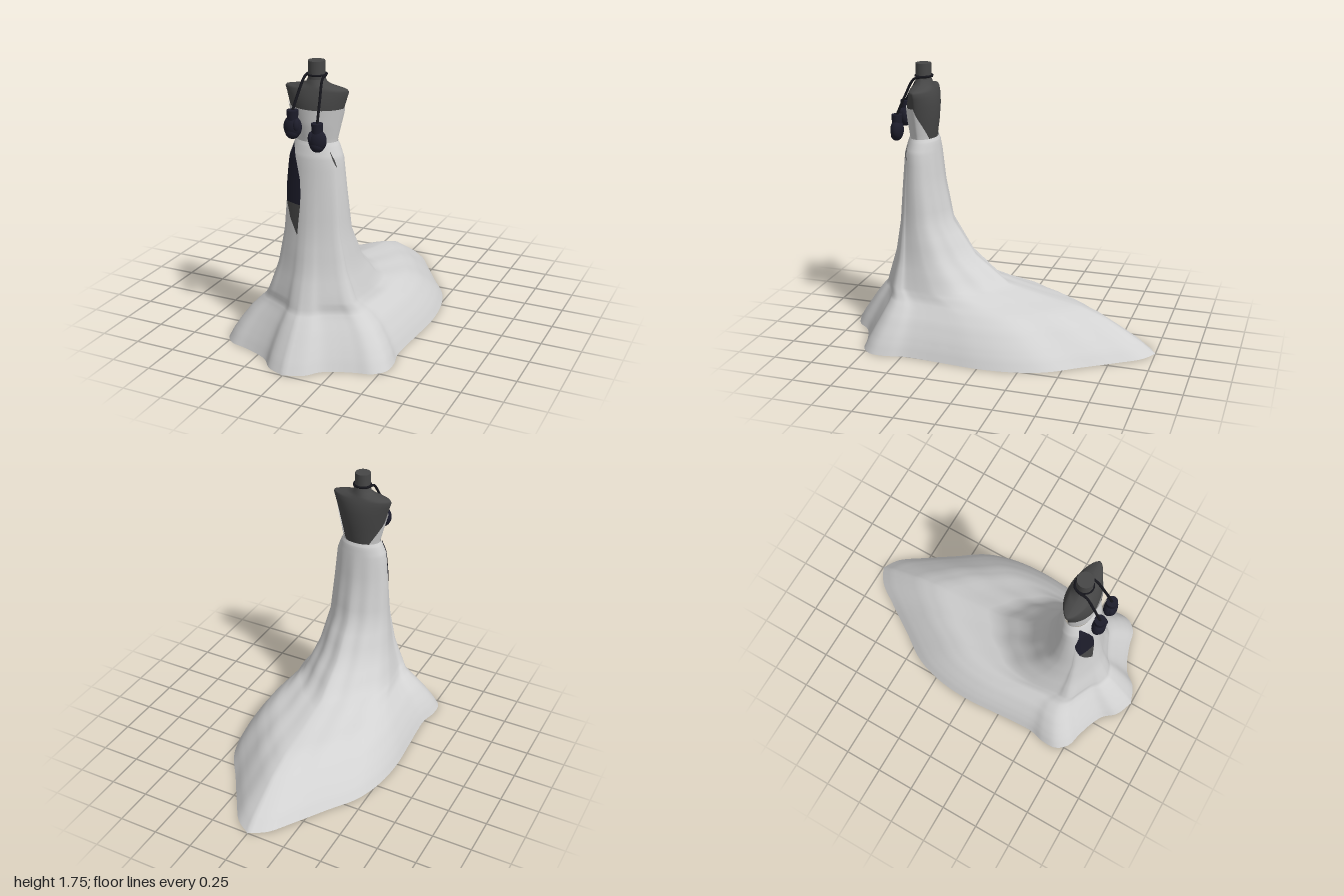
import * as THREE from 'three';

const material = (name, color, side = THREE.FrontSide) => {
  const m = new THREE.MeshStandardMaterial({ color, side });
  m.name = name;
  return m;
};

// Surface through rows (bottom to top) of cross-section points
function loft(name, rows, closed, mat) {
  const n = rows[0].length, pos = rows.flat(2), idx = [];
  for (let i = 0; i < rows.length - 1; i++) {
    for (let j = 0; j < (closed ? n : n - 1); j++) {
      const k = (j + 1) % n, a = i * n + j, b = i * n + k;
      idx.push(a, b, a + n, b, b + n, a + n);
    }
  }
  const g = new THREE.BufferGeometry();
  g.setAttribute('position', new THREE.Float32BufferAttribute(pos, 3));
  g.setIndex(idx);
  g.computeVertexNormals();
  const mesh = new THREE.Mesh(g, mat);
  mesh.name = name;
  return mesh;
}

// Linear lookup in a table whose first column is the key
function lookup(table, y) {
  let i = 0;
  while (i < table.length - 2 && y > table[i + 1][0]) i++;
  const f = (y - table[i][0]) / (table[i + 1][0] - table[i][0]);
  return table[i].map((v, k) => v + (table[i + 1][k] - v) * f);
}

// Half of the hem outline: angle from the front, relative radius
const hem = new THREE.CatmullRomCurve3([
  [0, 1], [13, 0.975], [21, 0.94], [31, 0.97], [41, 1.056], [49, 1.17], [55, 1.21], [59, 1.16], [62, 1.08],
  [68, 1.03], [78, 1], [90, 1], [102, 0.99], [115, 0.95], [134, 0.86], [155, 0.88], [168, 0.95], [180, 1],
].map(([d, r]) => {
  const t = THREE.MathUtils.degToRad(d);
  return new THREE.Vector3(r * Math.sin(t), t, r * Math.cos(t));
}));

// Skirt: height, half width, front z, back z, amount of hem shape
const skirtKeys = [
  [0, 0.535, 1, -1, 1], [0.06, 0.51, 0.965, -0.92, 0.97], [0.12, 0.478, 0.925, -0.82, 0.93],
  [0.2, 0.425, 0.87, -0.68, 0.87], [0.26, 0.37, 0.825, -0.52, 0.82], [0.3, 0.33, 0.79, -0.3, 0.75],
  [0.36, 0.295, 0.77, -0.04, 0.65], [0.53, 0.24, 0.715, 0.18, 0.45], [0.75, 0.2, 0.675, 0.33, 0.28],
  [1, 0.183, 0.65, 0.385, 0.15], [1.2, 0.166, 0.63, 0.41, 0.05], [1.27, 0.14, 0.61, 0.42, 0],
  [1.295, 0.128, 0.6, 0.43, 0],
];

// Point on the skirt: u runs -1..1 around from the back, 0 is the front
function skirtPoint(u, y) {
  const [, hw, front, back, w] = lookup(skirtKeys, y);
  const h = hem.getPoint(Math.abs(u)), t = h.y;
  const ripple = 1 + 0.12 * w * (1 - w) * (Math.cos(10 * t) - 1) * Math.max(0, -Math.cos(t));
  const nx = THREE.MathUtils.lerp(Math.sin(t), h.x, w) * ripple;
  const nz = THREE.MathUtils.lerp(Math.cos(t), h.z, w) * ripple;
  return [Math.sign(u) * hw * nx, y, (front + back) / 2 + (front - back) / 2 * nz];
}

// Thin panel lying on the front of the skirt: rows of height, left x, right x
function skirtPanel(name, outline, y0, y1, mat) {
  const rows = [];
  for (let i = 0; i <= 14; i++) {
    const y = y0 + (y1 - y0) * i / 14, [, x0, x1] = lookup(outline, y), row = [];
    for (let j = 0; j <= 10; j++) {
      const x = x0 + (x1 - x0) * j / 10;
      let lo = -0.6, hi = 0.6;
      for (let k = 0; k < 25; k++) {
        const mid = (lo + hi) / 2;
        if (skirtPoint(mid, y)[0] < x) lo = mid; else hi = mid;
      }
      const p = skirtPoint(lo, y);
      row.push([p[0] * 1.02, y, p[2] + 0.005]);
    }
    rows.push(row);
  }
  return loft(name, rows, false, mat);
}

// Torso: height, half width, front z, back z
const torsoKeys = [
  [1.26, 0.115, 0.59, 0.44], [1.3, 0.12, 0.592, 0.435], [1.4, 0.145, 0.605, 0.422], [1.5, 0.172, 0.61, 0.417],
  [1.56, 0.19, 0.595, 0.425], [1.59, 0.2, 0.585, 0.435], [1.602, 0.192, 0.58, 0.44], [1.615, 0.11, 0.575, 0.445],
  [1.63, 0.065, 0.568, 0.452], [1.67, 0.045, 0.555, 0.465],
];

function torsoPoint(t, y, grow = 0) {
  const [, hw, front, back] = lookup(torsoKeys, y);
  const c = Math.cos(t);
  const z = Math.sign(c) * Math.abs(c) ** 1.3;
  return [(hw + grow) * Math.sin(t), y, (front + back) / 2 + ((front - back) / 2 + grow) * z];
}

export function createModel() {
  const model = new THREE.Group();
  const cloth = material('light cloth', 0xd2d2d2, THREE.DoubleSide);
  const body = material('mannequin grey', 0x474747, THREE.DoubleSide);
  const navy = material('dark navy', 0x1d1d2b, THREE.DoubleSide);
  const black = material('cord black', 0x15151b);

  const add = (parent, name, geo, mat, x, y, z) => {
    const mesh = new THREE.Mesh(geo, mat);
    mesh.name = name;
    mesh.position.set(x, y, z);
    parent.add(mesh);
    return mesh;
  };

  // Skirt with train
  const rows = [], half = 85;
  for (let k = 0; k < skirtKeys.length - 1; k++) {
    for (let s = 0; s < 3; s++) rows.push(THREE.MathUtils.lerp(skirtKeys[k][0], skirtKeys[k + 1][0], s / 3));
  }
  rows.push(1.295);
  model.add(loft('skirt', rows.map(y =>
    Array.from({ length: half * 2 }, (_, j) => skirtPoint(j / half - 1, y))), true, cloth));

  // Front slit showing shorts and leg, and a small pocket opening
  const slit = [[0.745, -0.062, -0.058], [0.83, -0.115, -0.052], [0.925, -0.148, -0.043], [1.0, -0.158, -0.043],
    [1.08, -0.16, -0.05], [1.19, -0.143, -0.082], [1.27, -0.118, -0.112]];
  model.add(skirtPanel('slitLeg', slit, 0.745, 0.925, body));
  model.add(skirtPanel('slitShorts', slit, 0.925, 1.27, navy));
  model.add(skirtPanel('pocketOpening', [[1.16, 0.15, 0.152], [1.2, 0.134, 0.142], [1.25, 0.112, 0.114]], 1.16, 1.25, body));

  // Mannequin torso and neck
  const torsoRows = torsoKeys.map(([y]) =>
    Array.from({ length: 64 }, (_, j) => torsoPoint(j / 64 * Math.PI * 2, y)));
  model.add(loft('torso', torsoRows, true, body));
  add(model, 'neck', new THREE.CylinderGeometry(0.049, 0.049, 0.135, 32), body, 0, 1.6875, 0.512);

  // Strapless bodice, its back edge sweeping down to the waist
  const bodiceRows = [];
  for (let i = 0; i <= 12; i++) {
    const f = i / 12, reach = THREE.MathUtils.lerp(2.5, 1.5, f), row = [];
    for (let j = 0; j <= 48; j++) {
      const t = (j / 24 - 1) * reach;
      const dip = 0.012 * Math.cos(t) * f;
      row.push(torsoPoint(t, 1.285 + 0.215 * f - dip, 0.008));
    }
    bodiceRows.push(row);
  }
  model.add(loft('bodice', bodiceRows, false, cloth));

  // Pair of hanging padded gloves, one lower than the other
  for (const [side, top] of [[-1, 1.495], [1, 1.435]]) {
    const glove = new THREE.Group();
    glove.name = side < 0 ? 'rightGlove' : 'leftGlove';
    glove.position.set(side * 0.077, top, 0.667);
    add(glove, 'cuff', new THREE.CylinderGeometry(0.034, 0.031, 0.055, 24), navy, 0, -0.0275, 0);
    add(glove, 'fist', new THREE.SphereGeometry(1, 28, 20), navy, 0, -0.098, 0).scale.set(0.055, 0.066, 0.04);
    add(glove, 'knuckles', new THREE.SphereGeometry(1, 24, 16), navy, 0, -0.128, 0.004).scale.set(0.043, 0.04, 0.036);
    add(glove, 'thumb', new THREE.SphereGeometry(1, 20, 14), navy, -side * 0.03, -0.085, 0.014).scale.set(0.02, 0.038, 0.024);
    model.add(glove);

    const path = new THREE.CatmullRomCurve3([
      [0, 1.675, 0.456], [side * 0.04, 1.675, 0.473], [side * 0.056, 1.673, 0.512], [side * 0.057, 1.66, 0.555],
      [side * 0.068, (1.66 + top) / 2, 0.615], [side * 0.077, top - 0.005, 0.667],
    ].map(p => new THREE.Vector3(...p)));
    add(model, 'cord', new THREE.TubeGeometry(path, 40, 0.008, 8), black, 0, 0, 0);
  }
  add(model, 'neckLoop', new THREE.TorusGeometry(0.051, 0.006, 8, 36), black, 0, 1.675, 0.512).rotation.x = Math.PI / 2;

  return model;
}
